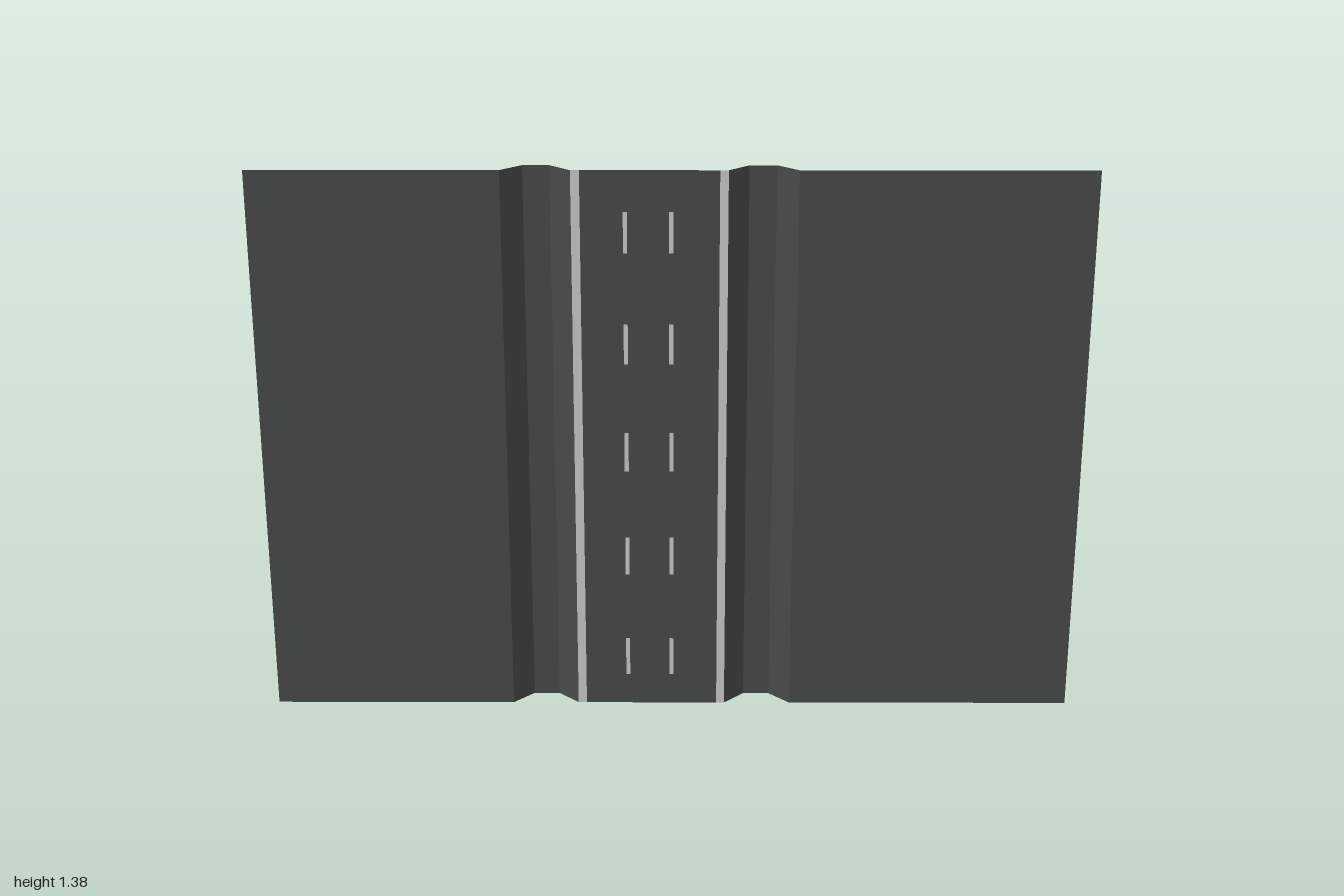
import * as THREE from 'three';

const H = 1.38, FRONT = 0.026, BACK = -0.026;
const asphalt = new THREE.MeshStandardMaterial({ color: 0x484a49, side: THREE.DoubleSide, flatShading: true });
const paint = new THREE.MeshStandardMaterial({ color: 0xbcbcbc, side: THREE.DoubleSide, flatShading: true });

// Full-height flat strip between two profile points [x, z]
function strip(name, [x0, z0], [x1, z1], material = asphalt) {
  const dx = x1 - x0, dz = z1 - z0;
  const mesh = new THREE.Mesh(new THREE.PlaneGeometry(Math.hypot(dx, dz), H), material);
  mesh.position.set((x0 + x1) / 2, H / 2, (z0 + z1) / 2);
  mesh.rotation.y = -Math.atan2(dz, dx);
  mesh.name = name;
  return mesh;
}

// Raised kerb: slope, flat top, slope
function kerb(name, xs) {
  const group = new THREE.Group();
  group.name = name;
  const pts = [[xs[0], FRONT], [xs[1], BACK], [xs[2], BACK], [xs[3], FRONT]];
  ['innerSlope', 'kerbTop', 'outerSlope'].forEach((part, i) => group.add(strip(part, pts[i], pts[i + 1])));
  return group;
}

export function createModel() {
  const model = new THREE.Group();
  model.name = 'roadSection';

  // Wide ground on both sides, kerbs between ground and road
  model.add(strip('rightGround', [-1, FRONT], [-0.402, FRONT]));
  model.add(strip('leftGround', [0.298, FRONT], [1, FRONT]));
  model.add(kerb('rightKerb', [-0.402, -0.352, -0.288, -0.237]));
  model.add(kerb('leftKerb', [0.133, 0.183, 0.248, 0.298]));

  // Painted edge lines
  model.add(strip('rightEdgeLine', [-0.237, FRONT], [-0.216, FRONT], paint));
  model.add(strip('leftEdgeLine', [0.113, FRONT], [0.133, FRONT], paint));

  // Road surface with openings filled by the lane dashes
  const rect = (Type, x0, y0, x1, y1) => new Type([[x0, y0], [x1, y0], [x1, y1], [x0, y1]].map(p => new THREE.Vector2(...p)));
  const road = rect(THREE.Shape, -0.216, 0, 0.113, H);
  const dashes = [];
  for (const x of [-0.11, -0.001]) {
    for (let i = 0; i < 5; i++) {
      const y = 0.08 + i * 0.275;
      const box = [x - 0.005, y, x + 0.005, y + 0.1];
      road.holes.push(rect(THREE.Path, ...box));
      dashes.push(rect(THREE.Shape, ...box));
    }
  }
  const addFlat = (name, shapes, material) => {
    const mesh = new THREE.Mesh(new THREE.ShapeGeometry(shapes), material);
    mesh.name = name;
    mesh.position.z = FRONT;
    model.add(mesh);
  };
  addFlat('roadSurface', road, asphalt);
  addFlat('laneDashes', dashes, paint);

  return model;
}
